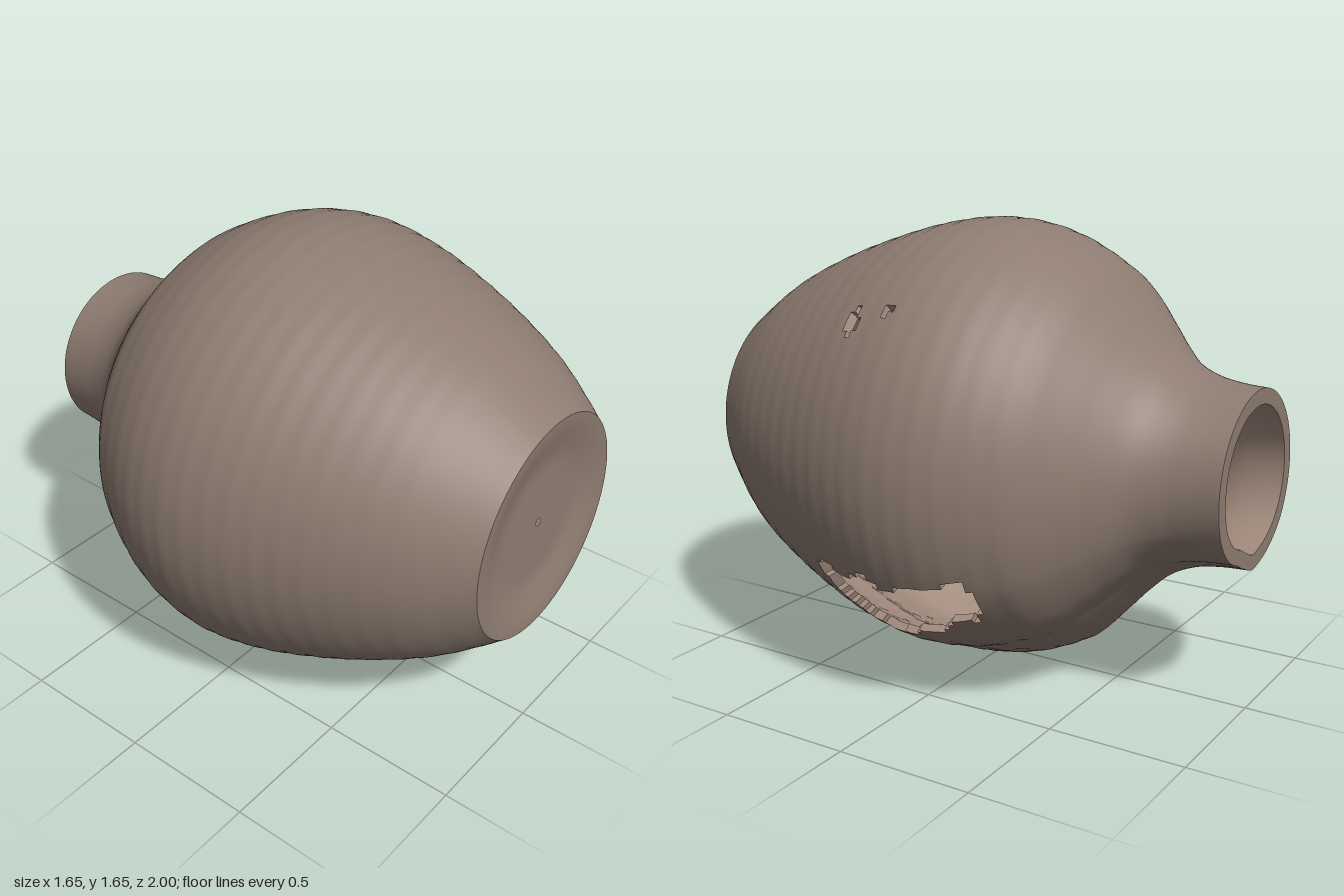
import * as THREE from 'three';

const ROWS = 120, COLS = 200;

// Jar profile along its lying axis, foot to mouth: (z, radius)
const profile = new THREE.SplineCurve([
  [1, 0.41], [0.8, 0.555], [0.6, 0.66], [0.4, 0.74], [0.2, 0.8], [0, 0.825], [-0.2, 0.79], [-0.4, 0.69],
  [-0.5, 0.595], [-0.6, 0.485], [-0.7, 0.39], [-0.8, 0.342], [-0.9, 0.322], [-1, 0.315],
].map(([z, r]) => new THREE.Vector2(z, r))).getPoints(ROWS);

// Flattened flanks beside the sharp seam underneath: (angle from the bottom, radius change)
const dents = [[-3.2, 0], [-0.9, 0], [-0.5, -0.013], [-0.25, -0.012], [0, 0],
  [0.25, -0.055], [0.47, -0.077], [0.73, -0.03], [1.1, 0], [3.2, 0]];

// Upper and lower edges of the broken patch: (z, y)
const breakTop = [[-0.3, 0.5], [-0.27, 0.54], [-0.2, 0.52], [-0.1, 0.51], [0, 0.47], [0.08, 0.52], [0.2, 0.48], [0.3, 0.53], [0.33, 0.49]];
const breakLow = [[-0.3, 0.43], [-0.28, 0.37], [-0.2, 0.37], [-0.15, 0.31], [-0.05, 0.29], [0, 0.26], [0.1, 0.24], [0.2, 0.28], [0.3, 0.38], [0.33, 0.47]];

// Piecewise linear lookup in a list of pairs
function lookup(list, t) {
  let k = 1;
  while (k < list.length - 1 && list[k][0] < t) k++;
  const [a, b] = [list[k - 1], list[k]];
  return THREE.MathUtils.mapLinear(t, a[0], b[0], a[1], b[1]);
}

const angle = (j) => ((j % COLS) / COLS) * Math.PI * 2;

// Point on the outer skin (wall = 0) or the inner skin (wall = 1)
function skin(i, j, wall) {
  const { x: z, y: r0 } = profile[i];
  const a = angle(j);
  const signed = a > Math.PI ? a - Math.PI * 2 : a;
  const dent = lookup(dents, signed) * THREE.MathUtils.smoothstep(1 - z, 0, 0.5);
  const rings = 0.0018 * Math.sin(z * 75) * THREE.MathUtils.smoothstep(z, -0.8, -0.4);
  const thickness = THREE.MathUtils.lerp(0.055, 0.03, THREE.MathUtils.smoothstep(z, -0.9, -0.4));
  const r = r0 * (1 + dent + rings) - wall * thickness;
  const cy = 0.825 + 0.03 * Math.max(0, z) ** 2;
  return new THREE.Vector3(r * Math.sin(a), cy - r * Math.cos(a), wall && z > 0 ? z * 0.94 : z);
}

// Cells of the wall that are broken away
function isHole(i, j) {
  if (i < 0 || i >= ROWS) return false;
  const p = skin(i, j, 0).add(skin(i + 1, j + 1, 0)).multiplyScalar(0.5);
  if (p.x < 0) return false;
  const patch = p.z > -0.3 && p.z < 0.33 && p.y < lookup(breakTop, p.z) && p.y > lookup(breakLow, p.z);
  const chip = Math.hypot((p.z - 0.21) / 0.025, (p.y - 1.34) / 0.045) < 1;
  const pinhole = Math.hypot(p.z - 0.07, p.y - 1.39) < 0.016;
  return patch || chip || pinhole;
}

// Closed band of quads around the axis
function band(name, rows, point, material, skip = () => false) {
  const pos = [], index = [];
  for (let i = 0; i <= rows; i++) for (let j = 0; j < COLS; j++) pos.push(...point(i, j).toArray());
  for (let i = 0; i < rows; i++) for (let j = 0; j < COLS; j++) {
    if (skip(i, j)) continue;
    const k = (j + 1) % COLS;
    const [a, b, c, d] = [i * COLS + j, (i + 1) * COLS + j, (i + 1) * COLS + k, i * COLS + k];
    index.push(a, b, d, b, c, d);
  }
  return makeMesh(name, pos, index, material);
}

function makeMesh(name, pos, index, material) {
  const g = new THREE.BufferGeometry();
  g.setAttribute('position', new THREE.Float32BufferAttribute(pos, 3));
  g.setIndex(index);
  g.computeVertexNormals();
  const mesh = new THREE.Mesh(g, material);
  mesh.name = name;
  return mesh;
}

// Thickness of the wall shown around the breaks
function brokenEdge(material) {
  const pos = [], index = [];
  const wall = (i0, j0, i1, j1) => {
    const n = pos.length / 3;
    for (const p of [skin(i0, j0, 0), skin(i1, j1, 0), skin(i1, j1, 1), skin(i0, j0, 1)]) pos.push(...p.toArray());
    index.push(n, n + 1, n + 2, n, n + 2, n + 3);
  };
  for (let i = 0; i < ROWS; i++) for (let j = 1; j < COLS / 2; j++) {
    if (!isHole(i, j)) continue;
    if (!isHole(i - 1, j)) wall(i, j, i, j + 1);
    if (!isHole(i + 1, j)) wall(i + 1, j + 1, i + 1, j);
    if (!isHole(i, j - 1)) wall(i + 1, j, i, j);
    if (!isHole(i, j + 1)) wall(i, j + 1, i + 1, j + 1);
  }
  return makeMesh('brokenEdge', pos, index, material);
}

export function createModel() {
  const model = new THREE.Group();
  model.name = 'jar';
  const clay = new THREE.MeshStandardMaterial({ color: 0x8e7c71, side: THREE.DoubleSide });
  const inside = new THREE.MeshStandardMaterial({ color: 0xa38c7e, side: THREE.DoubleSide });

  // Outer and inner walls
  model.add(band('outerWall', ROWS, (i, j) => skin(i, j, 0), clay, isHole));
  model.add(band('innerWall', ROWS, (i, j) => skin(ROWS - i, j, 1), inside, (i, j) => isHole(ROWS - 1 - i, j)));
  model.add(brokenEdge(inside));

  // Flat lip of the mouth
  model.add(band('lip', 2, (i, j) => skin(ROWS, j, 0).lerp(skin(ROWS, j, 1), i / 2), clay));

  // Dished foot with a pinhole in the middle
  const disc = (j, t, wall) => {
    const rim = skin(0, j, wall);
    const centre = new THREE.Vector3(0.015, 0.852, rim.z);
    return centre.lerp(rim, THREE.MathUtils.lerp(0.035, 1, t));
  };
  model.add(band('foot', 16, (i, j) => {
    const p = disc(j, i / 16, 0);
    p.z -= 0.035 * (1 - THREE.MathUtils.smoothstep(i / 16, 0.5, 1));
    return p;
  }, clay));
  model.add(band('innerFloor', 2, (i, j) => disc(j, 1 - i / 2, 1), inside));
  return model;
}
